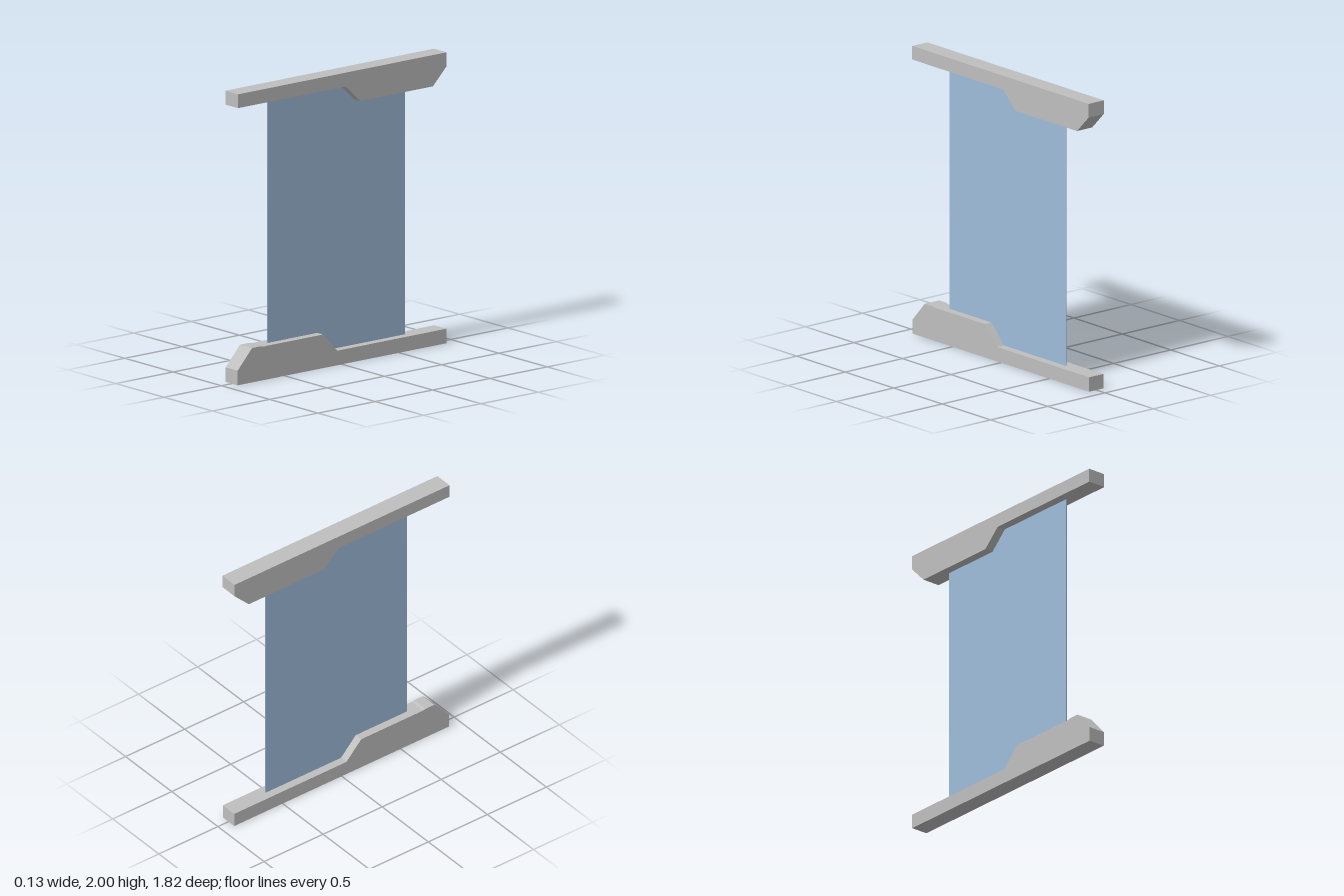
import * as THREE from 'three';

export function createModel() {
  const group = new THREE.Group();
  const grey = new THREE.MeshStandardMaterial({ color: 0xbfbfbf });
  grey.name = 'grey metal';
  const blue = new THREE.MeshStandardMaterial({ color: 0x9fbcda });
  blue.name = 'pale blue panel';

  // Extrudes a [z, y] profile along x, centred on x = 0
  function addRail(name, profile, width) {
    const shape = new THREE.Shape(profile.map(([z, y]) => new THREE.Vector2(-z, y)));
    const geometry = new THREE.ExtrudeGeometry(shape, { depth: width, bevelEnabled: false });
    geometry.translate(0, 0, -width / 2).rotateY(Math.PI / 2);
    const mesh = new THREE.Mesh(geometry, grey);
    mesh.name = name;
    group.add(mesh);
  }

  // Lower rail, thick towards the front
  addRail('lowerRail', [
    [0.91, 0], [-0.91, 0], [-0.91, 0.1], [0.04, 0.1],
    [0.165, 0.231], [0.69, 0.231], [0.71, 0.236], [0.785, 0.236], [0.91, 0.1],
  ], 0.124);

  // Upper rail, thick towards the back
  addRail('upperRail', [
    [0.91, 2], [0.91, 1.905], [-0.03, 1.905], [-0.155, 1.785],
    [-0.79, 1.785], [-0.91, 1.905], [-0.91, 2],
  ], 0.132);

  // Thin panel, its ends set into both rails
  const panel = new THREE.Mesh(new THREE.BoxGeometry(0.006, 1.85, 1.2), blue);
  panel.name = 'panel';
  panel.position.y = 1.0;
  group.add(panel);

  return group;
}
